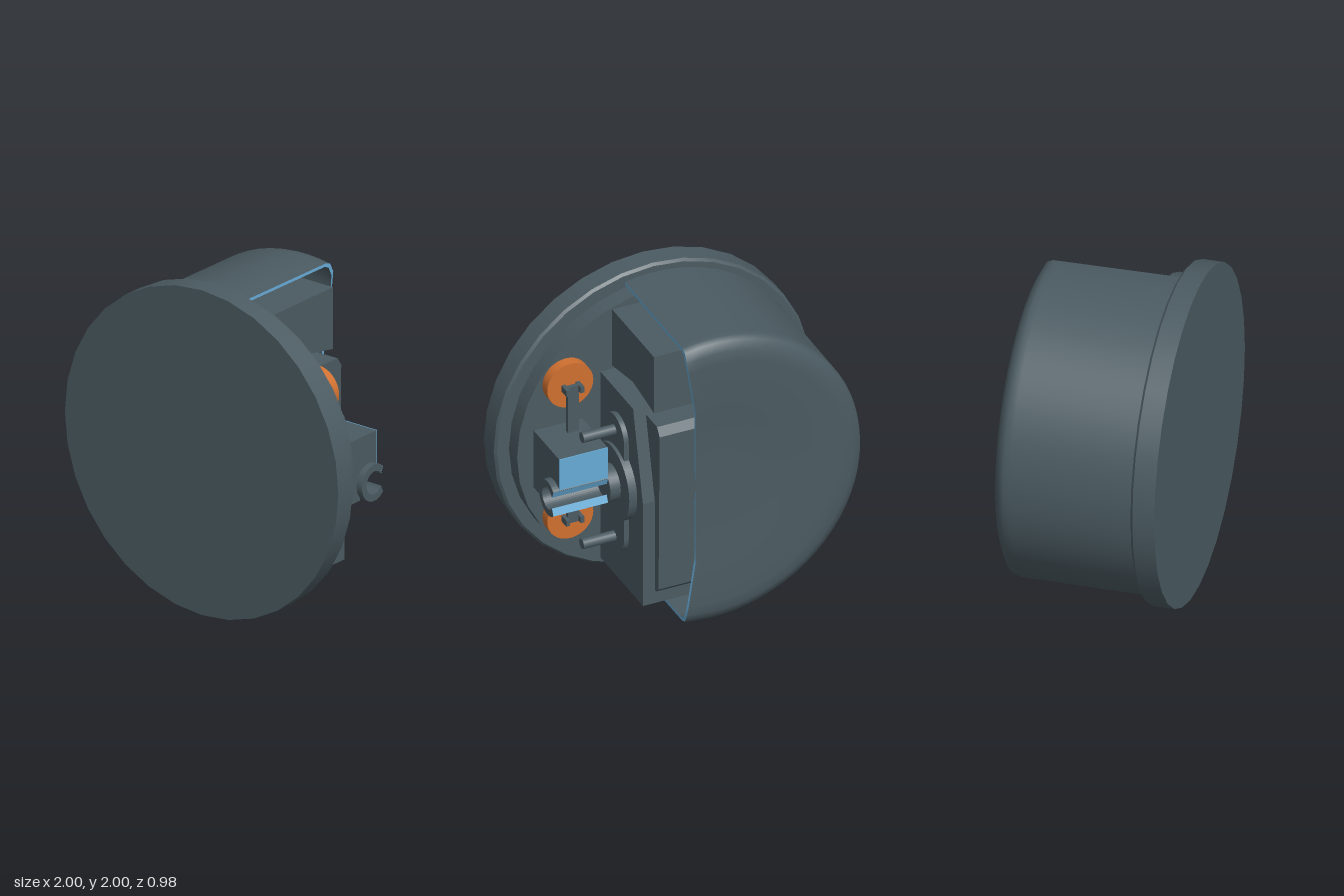
import * as THREE from 'three';

export function createModel() {
  const root = new THREE.Group();
  const grey = new THREE.MeshStandardMaterial({ color: 0x4b5b62 });
  grey.name = 'slate grey';
  const orange = new THREE.MeshStandardMaterial({ color: 0xd07030 });
  orange.name = 'orange';
  const blue = new THREE.MeshStandardMaterial({ color: 0x66abd6, side: THREE.DoubleSide });
  blue.name = 'section blue';

  const add = (name, geo, mat = grey) => {
    const mesh = new THREE.Mesh(geo, mat);
    mesh.name = name;
    root.add(mesh);
    return mesh;
  };
  // box from its extents
  const box = (name, x0, x1, y0, y1, z0, z1, mat) =>
    add(name, new THREE.BoxGeometry(x1 - x0, y1 - y0, z1 - z0)
      .translate((x0 + x1) / 2, (y0 + y1) / 2, (z0 + z1) / 2), mat);
  // cylinder along z
  const discZ = (name, rBack, rFront, x, y, z0, z1, mat, n = 32) =>
    add(name, new THREE.CylinderGeometry(rFront, rBack, z1 - z0, n)
      .rotateX(Math.PI / 2).translate(x, y, (z0 + z1) / 2), mat);
  // cylinder along x
  const rodX = (name, r, x0, x1, y, z, n = 32) =>
    add(name, new THREE.CylinderGeometry(r, r, x1 - x0, n)
      .rotateZ(Math.PI / 2).translate((x0 + x1) / 2, y, z));
  // side shape in (-z, y), extruded along x
  const extrudeX = (name, shape, x0, x1) =>
    add(name, new THREE.ExtrudeGeometry(shape, { depth: x1 - x0, bevelEnabled: false, curveSegments: 16 })
      .rotateY(Math.PI / 2).translate(x0, 0, 0));
  const poly = (pts) => new THREE.Shape(pts.map(([z, y]) => new THREE.Vector2(-z, y)));
  // surface through rows of points
  const grid = (rows, flip) => {
    const n = rows[0].length, index = [];
    for (let i = 0; i < rows.length - 1; i++) {
      for (let j = 0; j < n - 1; j++) {
        const a = i * n + j, b = a + n, c = a + 1, d = b + 1;
        if (flip) index.push(a, c, b, c, d, b);
        else index.push(a, b, c, c, b, d);
      }
    }
    const geo = new THREE.BufferGeometry();
    geo.setAttribute('position', new THREE.Float32BufferAttribute(rows.flat(2), 3));
    geo.setIndex(index);
    geo.computeVertexNormals();
    return geo;
  };

  // Front disc and mounting plate
  discZ('frontDisc', 1, 1, 0, 1, 0.36, 0.49);
  discZ('frontDiscBevel', 0.985, 1, 0, 1, 0.345, 0.36);
  discZ('mountingPlate', 0.91, 0.91, 0, 1, 0.237, 0.35);

  // Rear cover: a cup revolved about z, cut away on the +x side
  const profile = [[0.945, 0.345], [0.94, -0.38], [0.94, -0.42], [0.925, -0.457], [0.87, -0.484],
    [0.8, -0.49], [0.53, -0.49], [0.44, -0.472], [0.2, -0.472], [0.12, -0.472], [0.001, -0.472]];
  const cutAt = (r) => 0.18 - 0.06 * THREE.MathUtils.clamp((0.87 - r) / 0.4, 0, 1);
  const ring = ([r, z], cut) => {
    const start = Math.acos(Math.min(1, cut / r));
    return Array.from({ length: 41 }, (_, j) => {
      const t = start + (2 * Math.PI - 2 * start) * j / 40;
      return [r * Math.cos(t), 1 + r * Math.sin(t), z];
    });
  };
  const outer = profile.map((p) => ring(p, cutAt(p[0])));
  const inner = profile.map(([r, z], i) =>
    ring([Math.max(r - 0.018, 0.001), i ? z + 0.016 : z], cutAt(r)));
  add('coverOutside', grid(outer, false));
  add('coverInside', grid(inner, true));
  for (const j of [0, 40]) {
    add('coverCutEdge', grid(outer.map((row, i) => [row[j], inner[i][j]]), false), blue);
  }

  // Mechanism housings inside the cover
  extrudeX('upperHousing', poly([[0.24, 1.46], [-0.04, 1.51], [-0.32, 1.46], [-0.32, 1.84], [0.24, 1.84]].reverse()), -0.2, 0.31);
  extrudeX('rearHousing', poly([[0.24, 0.27], [-0.35, 0.27], [-0.38, 0.3], [-0.395, 1.34], [-0.36, 1.39], [0.24, 1.39]]), -0.3, 0.31);
  extrudeX('mainHousing', poly([[0.24, 0.18], [-0.33, 0.18], [-0.33, 0.87], [-0.2, 1.44], [0.24, 1.44]]), -0.3, 0.385);

  // Oval flange, round flange and two bolts
  const oval = new THREE.Shape();
  oval.absarc(0.01, 1.165, 0.132, 0, Math.PI, false);
  oval.absarc(0.01, 0.525, 0.132, Math.PI, 2 * Math.PI, false);
  extrudeX('ovalFlange', oval, 0.385, 0.415);
  rodX('roundFlange', 0.235, 0.385, 0.435, 0.86, -0.02);
  for (const y of [1.2, 0.48]) rodX('bolt', 0.032, 0.4, 0.62, y, -0.01, 16);
  rodX('hub', 0.112, 0.43, 0.5, 0.865, -0.03);

  // Sleeve, open toward the back
  const sleeve = new THREE.Shape();
  const a = 0.8, b = 0.55, cy = 0.865, cu = 0.03;
  sleeve.absarc(cu, cy, 0.112, a, 2 * Math.PI - a, false);
  sleeve.absarc(cu, cy, 0.07, 2 * Math.PI - b, b, true);
  extrudeX('sleeve', sleeve, 0.5, 0.845);
  for (const s of [-1, 1]) {
    const end = (x) => [
      [x, cy + s * 0.112 * Math.sin(a), -cu - 0.112 * Math.cos(a) - 0.002],
      [x, cy + s * 0.07 * Math.sin(b), -cu - 0.07 * Math.cos(b) - 0.002]];
    add('sleeveCutFace', grid([end(0.5), end(0.845)], false), blue);
  }

  // Carrier block with a cut rear face
  box('carrierTop', 0.5, 0.805, 0.95, 1.155, -0.1, 0.24);
  box('carrierLower', 0.5, 0.805, 0.77, 0.95, 0.05, 0.24);
  box('carrierCutFace', 0.5, 0.805, 0.95, 1.155, -0.106, -0.1, blue);

  // Orange knobs with their clips, above and below the carrier
  for (const s of [-1, 1]) {
    const y = 1 + s * 0.445;
    discZ('knob', 0.145, 0.145, 0.605, y, 0.172, 0.237, orange);
    const inY = s > 0 ? 1.155 : 0.77, outY = 1 + s * 0.46;
    box('clipStrip', 0.57, 0.64, Math.min(inY, outY), Math.max(inY, outY), 0.13, 0.155);
    const tab = 1 + s * 0.44;
    for (const x of [0.56, 0.65]) box('clipTab', x - 0.012, x + 0.012, tab - 0.02, tab + 0.02, 0.105, 0.18);
  }

  return root;
}
